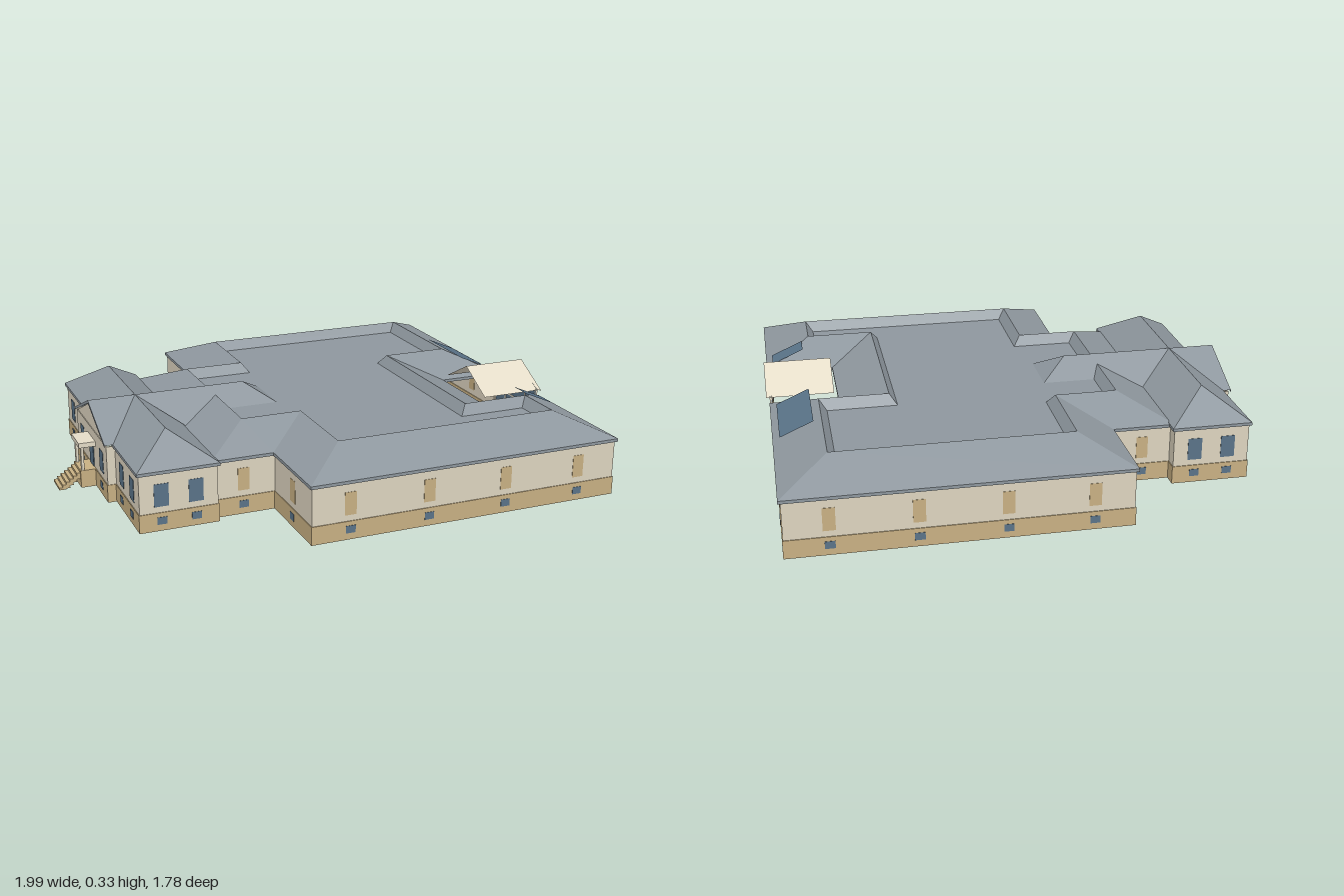
import * as THREE from 'three';

const mat = (color) => new THREE.MeshStandardMaterial({ color, side: THREE.DoubleSide, flatShading: true });
const ROOF = mat(0x8e979e), WALL = mat(0xddd4bf), BASE = mat(0xc8b083), GLASS = mat(0x5a7388), TRIM = mat(0xe4dcc8);

export function createModel() {
  const model = new THREE.Group();
  model.name = 'building';

  const add = (name, geo, material) => {
    const mesh = new THREE.Mesh(geo, material);
    mesh.name = name;
    model.add(mesh);
    return mesh;
  };
  const box = (name, x0, x1, y0, y1, z0, z1, material) =>
    add(name, new THREE.BoxGeometry(x1 - x0, y1 - y0, z1 - z0)
      .translate((x0 + x1) / 2, (y0 + y1) / 2, (z0 + z1) / 2), material);
  // Flat polygons, each fanned into triangles
  const faces = (name, polys, material) => {
    const pos = [];
    for (const p of polys)
      for (let i = 1; i < p.length - 1; i++) pos.push(...p[0], ...p[i], ...p[i + 1]);
    const geo = new THREE.BufferGeometry();
    geo.setAttribute('position', new THREE.Float32BufferAttribute(pos, 3));
    geo.computeVertexNormals();
    return add(name, geo, material);
  };

  // Main roof: mitred ring around the outline, rising to a crest and dropping to a flat deck
  const outline = [
    [-0.3, -0.883], [0.957, -0.883], [0.957, -0.036], [0.688, -0.036], [0.688, 0.294], [0.957, 0.294],
    [0.957, 0.85], [-0.3, 0.85], [-0.3, 0.496], [-0.54, 0.496], [-0.54, -0.542], [-0.3, -0.542],
  ];
  const n = outline.length;
  const inset = (d) => outline.map(([x, z], i) => {
    const [px, pz] = outline[(i + n - 1) % n], [nx, nz] = outline[(i + 1) % n];
    const sx = -Math.sign(z - pz) - Math.sign(nz - z);
    const sz = Math.sign(x - px) + Math.sign(nx - x);
    return [x + d * sx, z + d * sz];
  });
  const profile = [[0.012, 0.213], [0, 0.213], [0, 0.225], [0.183, 0.305], [0.212, 0.265]];
  const ring = [];
  for (let k = 0; k < profile.length - 1; k++) {
    const a = inset(profile[k][0]), b = inset(profile[k + 1][0]);
    const ya = profile[k][1], yb = profile[k + 1][1];
    for (let i = 0; i < n; i++) {
      const j = (i + 1) % n;
      ring.push([[a[i][0], ya, a[i][1]], [b[i][0], yb, b[i][1]], [b[j][0], yb, b[j][1]], [a[j][0], ya, a[j][1]]]);
    }
  }
  faces('mainRoof', ring, ROOF);
  const deck = new THREE.Shape(inset(0.212).map(([x, z]) => new THREE.Vector2(x, -z)));
  add('roofDeck', new THREE.ShapeGeometry(deck).rotateX(-Math.PI / 2).translate(0, 0.265, 0), ROOF);

  // Entrance wing: hipped roof with a cross ridge, gabled to the west and hipped to the east
  const E = 0.23, P = 0.333, xr = -0.673, zc = -0.033;
  const x0 = -0.828, x1 = -0.517, z0 = -0.594, z1 = 0.529;
  faces('wingRoof', [
    [[x0, E, z0], [x0, E, z1], [xr, P, z1 - 0.155], [xr, P, z0 + 0.155]],
    [[x1, E, z1], [x1, E, z0], [xr, P, z0 + 0.155], [xr, P, z1 - 0.155]],
    [[x0, E, z1], [x1, E, z1], [xr, P, z1 - 0.155]],
    [[x1, E, z0], [x0, E, z0], [xr, P, z0 + 0.155]],
  ], ROOF);
  faces('wingFascia', [
    [[x0, 0.218, z0], [x0, 0.218, z1], [x0, E, z1], [x0, E, z0]],
    [[x1, 0.218, z0], [x1, 0.218, z1], [x1, E, z1], [x1, E, z0]],
    [[x0, 0.218, z0], [x1, 0.218, z0], [x1, E, z0], [x0, E, z0]],
    [[x0, 0.218, z1], [x1, 0.218, z1], [x1, E, z1], [x0, E, z1]],
  ], ROOF);
  const cross = [[[-0.068, E, zc - 0.162], [-0.068, E, zc + 0.162], [-0.229, P, zc]]];
  const gable = [];
  for (const s of [-1, 1]) {
    cross.push([[xr, P, zc], [-0.229, P, zc], [-0.068, E, zc + s * 0.162], [xr + 0.162, E, zc + s * 0.162]]);
    gable.push([[-0.86, P, zc], [xr, P, zc], [x0, E, zc + s * 0.242], [-0.86, E, zc + s * 0.242]]);
    gable.push([[-0.86, P, zc], [-0.86, E, zc + s * 0.242], [-0.86, E - 0.012, zc + s * 0.242], [-0.86, P - 0.012, zc]]);
  }
  faces('crossRoof', cross, ROOF);
  faces('entryGableRoof', gable, ROOF);
  faces('entryPediment', [[[-0.85, 0.22, zc - 0.232], [-0.85, 0.22, zc + 0.232], [-0.85, 0.324, zc]]], WALL);

  // Walls: a plinth and a paler storey along each path
  const wallPath = (name, pts) => {
    for (let i = 0; i < pts.length - 1; i++) {
      const [ax, az] = pts[i], [bx, bz] = pts[i + 1];
      const span = (y0, y1, t, part, m) => box(name + part,
        Math.min(ax, bx) - t, Math.max(ax, bx) + t, y0, y1, Math.min(az, bz) - t, Math.max(az, bz) + t, m);
      span(0, 0.07, 0.006, 'Plinth', BASE);
      span(0.07, 0.222, 0.003, 'Wall', WALL);
    }
  };
  wallPath('north', [[0.945, -0.034], [0.945, -0.872], [-0.289, -0.872], [-0.289, -0.531], [-0.53, -0.531]]);
  wallPath('south', [[-0.53, 0.485], [-0.289, 0.485], [-0.289, 0.839], [0.945, 0.839], [0.945, 0.292]]);
  wallPath('wing', [[-0.528, -0.531], [-0.528, -0.583], [-0.817, -0.583], [-0.817, -0.265], [-0.85, -0.265],
    [-0.85, 0.199], [-0.817, 0.199], [-0.817, 0.518], [-0.528, 0.518], [-0.528, 0.485]]);

  // Windows: an upper pane and a small basement pane
  const bay = (x, z, alongX, m, w) => {
    const pane = (name, w, y0, y1, t, m) => {
      const hx = alongX ? w / 2 : t, hz = alongX ? t : w / 2;
      box(name, x - hx, x + hx, y0, y1, z - hz, z + hz, m);
    };
    pane('window', w, 0.093, 0.18, 0.0045, m);
    pane('basementWindow', 0.037, 0.025, 0.053, 0.0075, GLASS);
  };
  for (const x of [-0.145, 0.166, 0.48, 0.79]) for (const z of [-0.872, 0.839]) bay(x, z, true, BASE, 0.045);
  for (const z of [0.708, 0.423, -0.227, -0.656]) bay(0.945, z, false, BASE, 0.045);
  for (const z of [-0.531, 0.485]) bay(-0.415, z, true, BASE, 0.045);
  for (const z of [-0.7, 0.665]) bay(-0.289, z, false, BASE, 0.045);
  for (const x of [-0.738, -0.608]) for (const z of [-0.583, 0.518]) bay(x, z, true, GLASS, 0.055);
  for (const s of [-1, 1]) {
    for (const d of [0.32, 0.46]) bay(-0.817, zc + s * d, false, GLASS, 0.055);
    bay(-0.85, zc + s * 0.15, false, GLASS, 0.055);
  }

  // Entry porch with door, landing, columns, canopy and steps
  box('door', -0.856, -0.846, 0.07, 0.162, zc - 0.03, zc + 0.03, GLASS);
  box('landing', -0.915, -0.85, 0, 0.07, zc - 0.056, zc + 0.056, BASE);
  box('canopy', -0.918, -0.85, 0.165, 0.184, zc - 0.062, zc + 0.062, TRIM);
  for (const s of [-1, 1])
    add('column', new THREE.CylinderGeometry(0.007, 0.007, 0.095, 10).translate(-0.904, 0.1175, zc + s * 0.046), TRIM);
  for (let i = 0; i < 6; i++)
    box('step', -0.915 - (i + 1) * 0.0142, -0.915 - i * 0.0142, Math.max(0, 0.035 - i * 0.0105), 0.06 - i * 0.0102, zc - 0.05, zc + 0.05, BASE);

  // Glazed east entrance with mullions under a pale gable roof
  const ga = -0.028, gb = 0.286, gm = 0.129, gx = 0.951;
  box('entranceGlass', gx - 0.004, gx, 0, 0.25, ga, gb, GLASS);
  faces('gableGlass', [[[gx, 0.25, ga], [gx, 0.25, gb], [gx, 0.328, gm]]], GLASS);
  for (const z of [ga + 0.003, gm - 0.075, gm + 0.075, gb - 0.003])
    box('mullion', gx - 0.006, gx + 0.004, 0, 0.25, z - 0.003, z + 0.003, TRIM);
  for (const y of [0.014, 0.09, 0.165, 0.245])
    box('transom', gx - 0.006, gx + 0.004, y - 0.003, y + 0.003, ga, gb, TRIM);
  const canopy = [];
  for (const z of [ga - 0.004, gb + 0.004]) {
    canopy.push([[0.703, P, gm], [0.968, P, gm], [0.968, 0.246, z], [0.703, 0.246, z]]);
    canopy.push([[0.968, P, gm], [0.968, 0.246, z], [0.968, 0.238, z], [0.968, P - 0.008, gm]]);
  }
  faces('entranceRoof', canopy, TRIM);

  // Skylights lying just above the east slope
  const slopeY = (x) => 0.229 + (0.957 - x) * 0.437;
  for (const [a, b] of [[-0.405, -0.09], [0.344, 0.446]])
    faces('skylight', [[[0.804, slopeY(0.804), a], [0.804, slopeY(0.804), b],
      [0.931, slopeY(0.931), b], [0.931, slopeY(0.931), a]]], GLASS);

  // The whole building stands slightly turned on its plot
  model.rotation.y = -0.0415;
  const root = new THREE.Group();
  root.name = 'site';
  root.add(model);
  return root;
}
